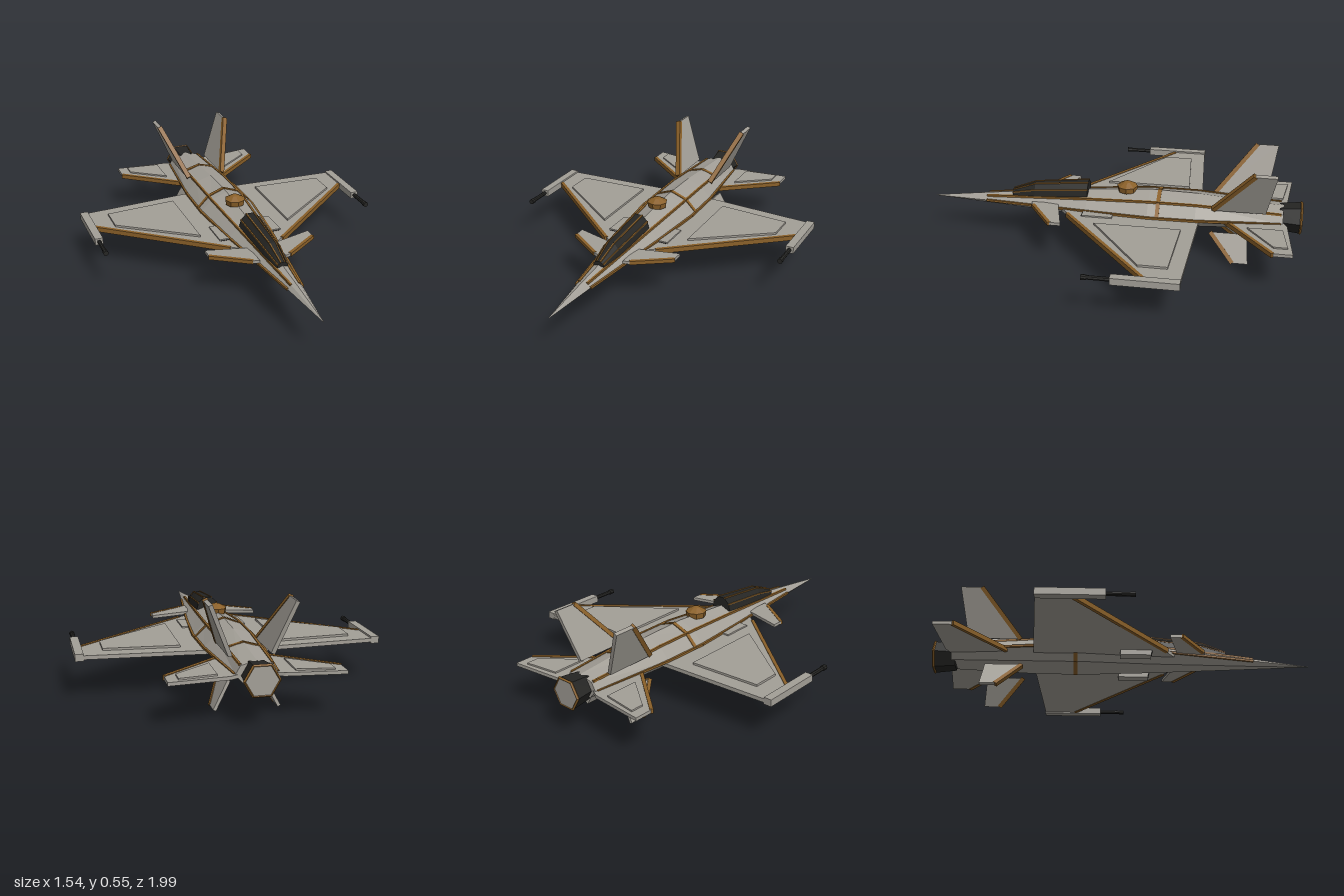
import * as THREE from 'three';

const V = (x, y, z) => new THREE.Vector3(x, y, z);
const material = (name, color) => Object.assign(new THREE.MeshStandardMaterial({ color }), { name });

// Fuselage stations: z, ridge y, shoulder x/y, waist x/y, keel x/y
const STATIONS = [
  [0.99, 0.202, 0.001, 0.201, 0.002, 0.2, 0.001, 0.199],
  [0.69, 0.24, 0.022, 0.232, 0.04, 0.212, 0.02, 0.19],
  [0.13, 0.305, 0.068, 0.278, 0.118, 0.23, 0.06, 0.177],
  [-0.2, 0.33, 0.088, 0.297, 0.15, 0.235, 0.085, 0.174],
  [-0.45, 0.325, 0.088, 0.297, 0.146, 0.235, 0.085, 0.174],
  [-0.9, 0.29, 0.075, 0.272, 0.1, 0.23, 0.06, 0.185],
];

function station(z) {
  let i = 0;
  while (i < STATIONS.length - 2 && z < STATIONS[i + 1][0]) i++;
  const a = STATIONS[i], b = STATIONS[i + 1];
  const t = (z - a[0]) / (b[0] - a[0]);
  return a.map((v, k) => v + (b[k] - v) * t);
}

// Closed loop, clockwise as seen from the front
function ring([z, top, xs, ys, xw, yw, xk, yk]) {
  return [[0, top], [xs, ys], [xw, yw], [xk, yk], [-xk, yk], [-xw, yw], [-xs, ys]].map(([x, y]) => V(x, y, z));
}

function flat(geometry) {
  const g = geometry.index ? geometry.toNonIndexed() : geometry;
  g.computeVertexNormals();
  return g;
}

// Faceted skin through rings listed from front to back, with end caps
function loft(rings) {
  const pts = [], n = rings[0].length, last = rings[rings.length - 1];
  for (let i = 0; i < rings.length - 1; i++) {
    for (let j = 0; j < n; j++) {
      const k = (j + 1) % n, p = rings[i], q = rings[i + 1];
      pts.push(p[j], p[k], q[k], p[j], q[k], q[j]);
    }
  }
  for (let j = 1; j < n - 1; j++) {
    pts.push(last[0], last[j], last[j + 1], rings[0][0], rings[0][j + 1], rings[0][j]);
  }
  return flat(new THREE.BufferGeometry().setFromPoints(pts));
}

export function createModel() {
  const model = new THREE.Group();
  model.name = 'jetFighter';
  const hull = material('hullGrey', 0xa39f97);
  const trim = material('bronzeTrim', 0x8a6029);
  const dark = material('darkMetal', 0x252523);

  function add(name, geometry, mat, x = 0, y = 0, z = 0) {
    const mesh = new THREE.Mesh(geometry, mat);
    mesh.name = name;
    mesh.position.set(x, y, z);
    model.add(mesh);
    return mesh;
  }

  // Square bar between two points
  function bar(name, a, b, w, h, mat, up = V(0, 1, 0)) {
    const mesh = add(name, new THREE.BoxGeometry(w, h, a.distanceTo(b)), mat);
    mesh.up.copy(up);
    mesh.position.copy(a).lerp(b, 0.5);
    mesh.lookAt(b);
    return mesh;
  }

  // Horizontal plate from (x, z) corners, between two heights
  function plate(name, corners, y0, y1, side) {
    const shape = new THREE.Shape(corners.map(([x, z]) => new THREE.Vector2(x * side, z)));
    const g = new THREE.ExtrudeGeometry(shape, { depth: y1 - y0, bevelEnabled: false });
    return add(name, g.rotateX(Math.PI / 2), hull, 0, y1, 0);
  }

  // Canted fin: corners are (z, fraction of span), from root to tip (x, y)
  function fin(name, corners, root, tip, side, thick) {
    const base = V(root[0] * side, root[1], 0);
    const span = V(tip[0] * side, tip[1], 0).sub(base);
    const length = span.length(), dir = span.clone().normalize();
    const normal = V(0, 0, 1).cross(dir);
    const shape = new THREE.Shape(corners.map(([z, s]) => new THREE.Vector2(z, s * length)));
    const g = new THREE.ExtrudeGeometry(shape, { depth: thick, bevelEnabled: false });
    g.translate(0, 0, -thick / 2);
    g.applyMatrix4(new THREE.Matrix4().makeBasis(V(0, 0, 1), dir, normal).setPosition(base));
    add(name, g, hull);
    const at = ([z, s]) => base.clone().addScaledVector(span, s).add(V(0, 0, z));
    bar(name + 'LeadingEdge', at(corners[0]), at(corners[1]), 0.022, thick + 0.006, trim, normal);
  }

  // Fuselage and its encircling band
  add('fuselage', loft(STATIONS.map(ring)), hull);
  const bandRing = (z) => ring(station(z)).map((p) => V(p.x * 1.03, 0.235 + (p.y - 0.235) * 1.05, p.z));
  add('fuselageBand', loft([bandRing(-0.242), bandRing(-0.262)]), trim);

  // Canopy with ribs along its edges
  const canopyRings = [[0.545, 0.03, 0.25, 0.275], [0.42, 0.048, 0.258, 0.322], [0.13, 0.06, 0.285, 0.352]]
    .map(([z, w, y0, y1]) => [[-1, 0], [-0.85, 0.55], [-0.35, 1], [0.35, 1], [0.85, 0.55], [1, 0]]
      .map(([x, y]) => V(x * w, y0 + (y1 - y0) * y, z)));
  add('canopy', loft(canopyRings), dark);
  for (let i = 0; i < 2; i++) {
    for (let j = 1; j < 5; j++) bar('canopyRib', canopyRings[i][j], canopyRings[i + 1][j], 0.006, 0.006, trim);
  }

  // Faceted sensor dome on the spine
  const domeProfile = [[0.05, 0], [0.055, 0.03], [0.02, 0.05], [0, 0.055]].map(([x, y]) => new THREE.Vector2(x, y));
  add('sensorDome', flat(new THREE.LatheGeometry(domeProfile, 8)), trim, 0, 0.313, -0.078);

  // Six-sided exhaust
  const nozzle = new THREE.CylinderGeometry(0.083, 0.07, 0.11, 6).rotateY(Math.PI / 6).rotateX(-Math.PI / 2);
  add('exhaustNozzle', flat(nozzle), dark, 0, 0.225, -0.935);
  add('exhaustRim', flat(new THREE.TorusGeometry(0.08, 0.008, 4, 6)), trim, 0, 0.225, -0.992);
  add('exhaustDisc', new THREE.CircleGeometry(0.078, 6).rotateY(Math.PI), hull, 0, 0.225, -0.996);

  for (const side of [1, -1]) {
    const edge = (name, a, b, y, h) =>
      bar(name, V(a[0] * side, y, a[1]), V(b[0] * side, y, b[1]), 0.018, h, trim);

    // Trim lines along shoulder and waist, and the rear spine band
    const zs = [0.69, 0.13, -0.2, -0.45, -0.89];
    for (let i = 0; i < zs.length - 1; i++) {
      const a = station(zs[i]), b = station(zs[i + 1]);
      for (const k of [2, 4]) {
        bar(k === 2 ? 'shoulderTrim' : 'waistTrim', V(a[k] * side, a[k + 1], a[0]),
          V(b[k] * side, b[k + 1], b[0]), 0.011, 0.011, trim);
      }
    }
    const s = station(-0.65);
    bar('spineBand', V(0, s[1], s[0]), V(s[2] * side, s[3], s[0]), 0.02, 0.008, trim);

    // Main wing with raised panel and tip cannon
    plate('wing', [[0.09, 0.265], [0.74, -0.27], [0.74, -0.435], [0.09, -0.472]], 0.206, 0.226, side);
    plate('wingPanel', [[0.25, -0.06], [0.63, -0.22], [0.63, -0.365], [0.25, -0.388]]
      .map(([x, z], i) => (i === 0 ? [x, 0.06] : [x, z])), 0.226, 0.237, side);
    edge('wingLeadingEdge', [0.145, 0.222], [0.727, -0.261], 0.216, 0.026);
    add('wingtipRail', new THREE.BoxGeometry(0.042, 0.036, 0.33), hull, side * 0.748, 0.217, -0.272);
    const barrel = new THREE.CylinderGeometry(0.011, 0.011, 0.14, 8).rotateX(Math.PI / 2);
    add('cannonBarrel', flat(barrel), dark, side * 0.748, 0.217, -0.04);
    const muzzle = new THREE.CylinderGeometry(0.014, 0.014, 0.025, 8).rotateX(Math.PI / 2);
    add('cannonMuzzle', flat(muzzle), dark, side * 0.748, 0.217, 0.018);

    // Canard
    plate('canard', [[0.07, 0.43], [0.1, 0.42], [0.288, 0.29], [0.288, 0.228], [0.13, 0.27], [0.07, 0.285]], 0.224, 0.24, side);
    edge('canardLeadingEdge', [0.1, 0.415], [0.288, 0.287], 0.232, 0.02);

    // Tailplane with raised panel
    plate('tailplane', [[0.08, -0.585], [0.412, -0.855], [0.412, -0.95], [0.125, -0.922], [0.08, -0.9]], 0.215, 0.232, side);
    plate('tailplanePanel', [[0.18, -0.72], [0.36, -0.855], [0.36, -0.925], [0.18, -0.9]], 0.232, 0.24, side);
    edge('tailplaneLeadingEdge', [0.11, -0.61], [0.412, -0.852], 0.223, 0.024);

    // Side intake
    add('intake', new THREE.BoxGeometry(0.055, 0.055, 0.16), hull, side * 0.144, 0.206, 0.06);
    add('intakeMouth', new THREE.BoxGeometry(0.044, 0.032, 0.008), dark, side * 0.144, 0.211, 0.141);

    // Canted tail fins and ventral fins
    fin('tailFin', [[-0.54, 0], [-0.745, 1], [-0.855, 1], [-0.81, 0]], [0.1, 0.29], [0.201, 0.54], side, 0.02);
    fin('ventralFin', [[-0.53, 0], [-0.655, 1], [-0.735, 1], [-0.72, 0]], [0.084, 0.147], [0.156, 0.01], side, 0.016);
  }
  return model;
}
